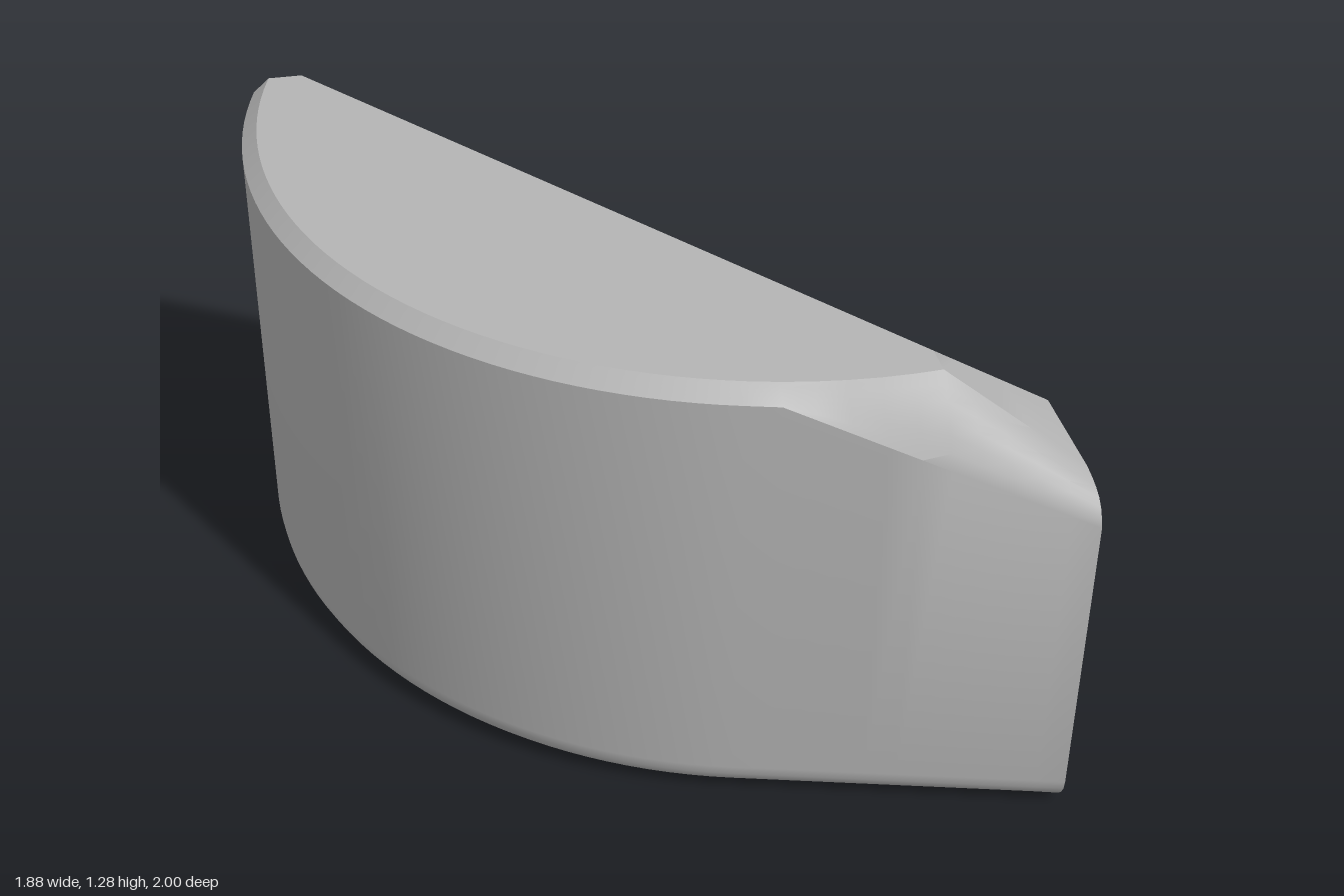
import * as THREE from 'three';
import { toCreasedNormals } from 'three/addons/utils/BufferGeometryUtils.js';

const TOP = 1.28, WALL = 0.56, CX = 0.483, CZ = -0.6, R_OUT = 1.428, R_IN = 1.385;
const V = (x, y, z) => new THREE.Vector3(x, y, z);
const mix = THREE.MathUtils.lerp;

// Key corners of the sloped inner side
const ridgeBack = V(-0.75, TOP, -1), ridgeFront = V(0.59, TOP, 0.7), ridgeEnd = V(0.94, 1.015, 0.59);
const wallBack = V(-0.14, WALL, -1), wallEnd = V(0.94, WALL, -0.11);

// Stations along the curved outer wall: p = wall, n = outward, t = top inner edge
function makeStations() {
  const list = [];
  const a0 = Math.asin((-1 - CZ) / R_OUT), a1 = THREE.MathUtils.degToRad(75), N = 40;
  for (let i = 0; i <= N; i++) {
    const a = mix(a0, a1, i / N), c = -Math.cos(a), s = Math.sin(a);
    const t = V(CX + R_IN * c, TOP, CZ + R_IN * s);
    if (i === 0) t.set(CX - Math.sqrt(R_IN ** 2 - (CZ + 1) ** 2), TOP, -1);
    list.push({ p: V(CX + R_OUT * c, 0, CZ + R_OUT * s), n: i === 0 ? V(-1, 0, 0) : V(c, 0, s), t, edge: 1.24, k: 0 });
  }
  // Straight run to the end face, where the top edge drops and rounds over
  const start = list[N].p, tEnd = V(0.94, 1.015, 0.87);
  const tMid = V(0.59, TOP, CZ + Math.sqrt(R_IN ** 2 - (0.59 - CX) ** 2));
  for (const x of [0.2, 0.28, 0.36, 0.44, 0.52, 0.59, 0.66, 0.73, 0.8, 0.87, 0.94]) {
    const k = (x - 0.2) / 0.74;
    const t = x <= 0.59
      ? V(x, TOP, CZ + Math.sqrt(R_IN ** 2 - (x - CX) ** 2))
      : tMid.clone().lerp(tEnd, (x - 0.59) / 0.35);
    list.push({
      p: V(x, 0, mix(start.z, 1, (x - start.x) / (0.94 - start.x))),
      n: x === 0.94 ? V(0, 0, 1) : V(-0.259, 0, 0.966),
      t, edge: mix(1.24, 0.925, k), k
    });
  }
  return list;
}

// Cross-section from the bottom inner corner, around the outside, to the ridge
function makeSection(s) {
  const u = THREE.MathUtils.clamp((s.t.x + 0.843) / (0.59 + 0.843), 0, 1);
  const e = THREE.MathUtils.clamp((s.p.x + 0.888) / (0.94 + 0.888), 0, 1);
  const inner = wallBack.clone().lerp(wallEnd, e).setY(0);
  const ridge = s.t.x > 0.59
    ? ridgeFront.clone().lerp(ridgeEnd, (s.t.x - 0.59) / 0.35)
    : ridgeBack.clone().lerp(ridgeFront, u);
  const ring = [inner];
  for (let j = 0; j <= 6; j++) {
    const a = j / 6 * Math.PI / 2;
    const q = s.p.clone().addScaledVector(s.n, -0.12 * (1 - Math.sin(a)));
    ring.push(q.setY(0.1 * (1 - Math.cos(a))));
  }
  const a = s.p.clone().setY(s.edge), corner = s.p.clone().setY(s.t.y);
  const mid = a.clone().lerp(s.t, 0.5);
  for (let j = 0; j <= 6; j++) {
    const f = j / 6;
    const q = a.clone().lerp(s.t, f);
    q.addScaledVector(corner.clone().sub(mid), s.k ** 2 * 0.8 * Math.sin(f * Math.PI) * 0.5);
    ring.push(q);
  }
  ring.push(ridge);
  return ring;
}

function makeBody() {
  const pos = [], centre = V(0, 0.5, 0);
  // Adds a triangle facing outward from the centre
  const tri = (a, b, c) => {
    const n = b.clone().sub(a).cross(c.clone().sub(a));
    if (n.length() < 1e-7) return;
    const out = a.clone().add(b).add(c).divideScalar(3).sub(centre);
    for (const v of n.dot(out) < 0 ? [a, c, b] : [a, b, c]) pos.push(v.x, v.y, v.z);
  };
  const quad = (a, b, c, d) => { tri(a, b, c); tri(a, c, d); };

  // Underside, outer wall, chamfer and top
  const rings = makeStations().map(makeSection);
  for (let i = 0; i + 1 < rings.length; i++) {
    const A = rings[i], B = rings[i + 1];
    for (let j = 0; j + 1 < A.length; j++) quad(A[j], B[j], B[j + 1], A[j + 1]);
  }
  // Back and right end faces
  for (const [ring, top] of [[rings[0], wallBack], [rings[rings.length - 1], wallEnd]]) {
    const face = [...ring, top];
    for (let j = 1; j + 1 < face.length; j++) tri(face[0], face[j], face[j + 1]);
  }
  // Inner wall and its slopes
  quad(wallBack.clone().setY(0), wallEnd.clone().setY(0), wallEnd, wallBack);
  tri(ridgeBack, wallBack, wallEnd);
  tri(ridgeBack, wallEnd, ridgeFront);
  tri(ridgeFront, wallEnd, ridgeEnd);

  const g = new THREE.BufferGeometry();
  g.setAttribute('position', new THREE.Float32BufferAttribute(pos, 3));
  return toCreasedNormals(g, 0.45);
}

export function createModel() {
  const grey = new THREE.MeshStandardMaterial({ color: 0xb4b4b4 });
  grey.name = 'grey';
  const body = new THREE.Mesh(makeBody(), grey);
  body.name = 'curvedBlock';
  const group = new THREE.Group();
  group.name = 'model';
  group.add(body);
  return group;
}
